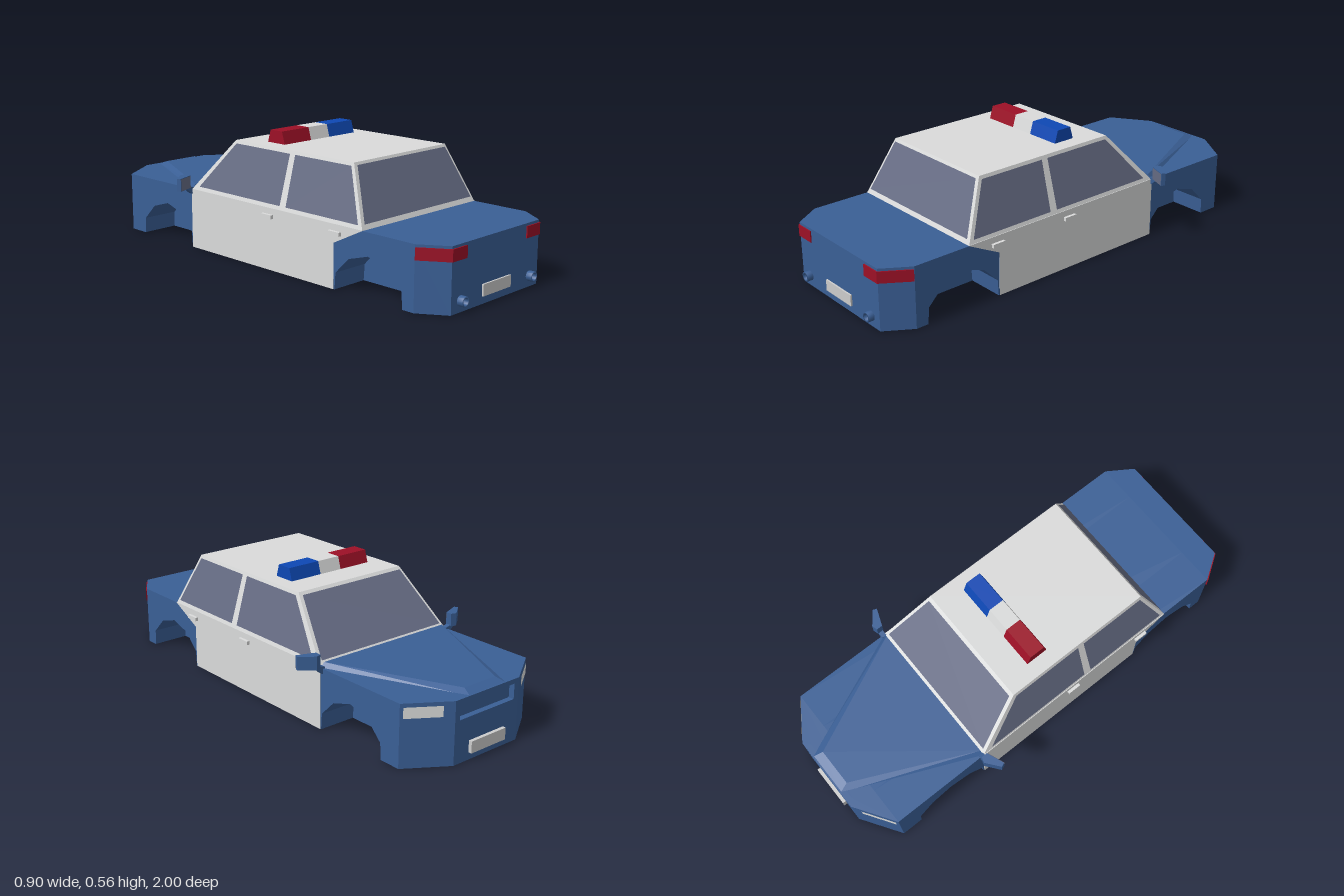
import * as THREE from 'three';
import { ConvexGeometry } from 'three/addons/geometries/ConvexGeometry.js';

const mat = (name, color, extra = {}) => {
  const m = new THREE.MeshStandardMaterial({ color, ...extra });
  m.name = name;
  return m;
};

export function createModel() {
  const car = new THREE.Group();
  car.name = 'patrolCar';
  const blue = mat('body blue', 0x3a5f95);
  const white = mat('white paint', 0xdadbdb);
  const plateGrey = mat('plate grey', 0xcbcbcb);
  const red = mat('red lens', 0x9c1026, { side: THREE.DoubleSide });
  const beaconBlue = mat('beacon blue', 0x0e48b4);
  const glass = mat('window glass', 0x666c84, { side: THREE.DoubleSide });
  const lamp = mat('headlight', 0xdcdedc, { side: THREE.DoubleSide });

  const add = (name, geo, material) => {
    const m = new THREE.Mesh(geo, material);
    m.name = name;
    car.add(m);
    return m;
  };
  const shape = (pts) => new THREE.Shape(pts.map(([a, b]) => new THREE.Vector2(a, b)));
  // (z, y) profile extruded across x0..x1
  const across = (pts, x0, x1) =>
    new THREE.ExtrudeGeometry(shape(pts), { depth: x1 - x0, bevelEnabled: false })
      .rotateY(-Math.PI / 2).translate(x1, 0, 0);
  // (x, z) plan extruded up y0..y1
  const upward = (pts, y0, y1) =>
    new THREE.ExtrudeGeometry(shape(pts), { depth: y1 - y0, bevelEnabled: false })
      .rotateX(Math.PI / 2).translate(0, y1, 0);
  const hull = (pts) => new ConvexGeometry(pts.map((p) => new THREE.Vector3(...p)));
  const box = (w, h, d, x, y, z) => new THREE.BoxGeometry(w, h, d).translate(x, y, z);
  const quad = (a, b, c, d) => {
    const g = new THREE.BufferGeometry();
    g.setAttribute('position', new THREE.Float32BufferAttribute([a, b, c, a, c, d].flat(), 3));
    g.computeVertexNormals();
    return g;
  };

  // Lower body: core, fenders with wheel arches, nose and tail
  const H = 0.265, W = 0.35, zNose = -0.87, zTail = 0.86;
  const arch = (c) => [[-0.175, 0], [-0.17, 0.07], [-0.1, 0.14], [0, 0.17],
    [0.1, 0.14], [0.17, 0.07], [0.175, 0]].map(([z, y]) => [c + z, y]);
  const sideProfile = [[zNose, 0], ...arch(-0.6), ...arch(0.63), [zTail, 0], [zTail, H], [zNose, H]];
  add('bodyCore', box(0.36, H, zTail - zNose, 0, H / 2, (zTail + zNose) / 2), blue);
  add('leftFenders', across(sideProfile, 0.18, W), blue);
  add('rightFenders', across(sideProfile, -W, -0.18), blue);
  add('nose', upward([[-W, zNose], [-0.175, -0.985], [-0.15, -0.985], [-0.15, -0.96],
    [0.15, -0.96], [0.15, -0.985], [0.175, -0.985], [W, zNose]], 0, H), blue);
  add('grilleLowerPanel', box(0.3, 0.18, 0.025, 0, 0.09, -0.9725), blue);
  add('grilleUpperPanel', box(0.3, 0.02, 0.025, 0, 0.255, -0.9725), blue);
  add('tail', upward([[-W, zTail], [-0.275, 0.975], [0.275, 0.975], [W, zTail]], 0, H), blue);

  // Raised hood panel
  add('hoodPanel', hull([-1, 1].flatMap((s) => [
    [s * 0.1, H - 0.002, -0.985], [s * 0.35, H - 0.002, -0.42],
    [s * 0.085, 0.279, -0.94], [s * 0.33, 0.284, -0.42]])), blue);

  // Cabin
  const yTop = 0.505;
  const at = (y) => {
    const t = (y - H) / (yTop - H);
    return { x: W - 0.07 * t, f: -0.42 + 0.22 * t, r: 0.6 - 0.11 * t };
  };
  add('cabin', hull([H, yTop].flatMap((y) => {
    const c = at(y);
    return [[c.x, y, c.f], [-c.x, y, c.f], [c.x, y, c.r], [-c.x, y, c.r]];
  })), white);

  // Windows
  const y0 = 0.283, y1 = 0.492, lo = at(y0), hi = at(y1), o = 0.003;
  const endWindow = (z0, z1, out) => quad(
    [-lo.x + 0.014, y0 + o, z0 + out], [lo.x - 0.014, y0 + o, z0 + out],
    [hi.x - 0.014, y1 + o, z1 + out], [-hi.x + 0.014, y1 + o, z1 + out]);
  add('rearWindow', endWindow(lo.r, hi.r, o), glass);
  add('windshield', endWindow(lo.f, hi.f, -o), glass);

  for (const s of [-1, 1]) {
    const side = s > 0 ? 'left' : 'right';
    const sideWindow = (a0, b0, a1, b1) => quad(
      [s * (lo.x + o), y0, a0], [s * (lo.x + o), y0, b0],
      [s * (hi.x + o), y1, b1], [s * (hi.x + o), y1, a1]);
    add(side + 'RearSideWindow', sideWindow(0.175, lo.r - 0.016, 0.17, hi.r - 0.014), glass);
    add(side + 'FrontSideWindow', sideWindow(lo.f + 0.032, 0.14, hi.f + 0.022, 0.14), glass);

    // White door panel and handles
    add(side + 'Doors', across([[-0.422, 0], [0.45, 0], [0.45, 0.19], [0.6, H], [0.6, H + 0.002], [-0.422, H + 0.002]],
      s > 0 ? W - 0.001 : -W - 0.002, s > 0 ? W + 0.002 : -W + 0.001), white);
    for (const z of [0.46, 0.075])
      add(side + 'DoorHandle', box(0.016, 0.016, 0.06, s * 0.357, 0.232, z), white);

    // Wing mirror
    const plan = [[0.365, -0.44], [0.39, -0.447], [0.45, -0.4], [0.443, -0.382], [0.365, -0.412]];
    add(side + 'Mirror', upward(plan.map(([x, z]) => [s * x, z]), 0.273, 0.33), blue);
    add(side + 'MirrorGlass', quad([s * 0.367, 0.275, -0.409], [s * 0.442, 0.275, -0.38],
      [s * 0.442, 0.328, -0.38], [s * 0.367, 0.328, -0.409]), glass);
    add(side + 'MirrorArm', hull([-0.437, -0.415].flatMap((z) => [
      [s * 0.34, 0.245, z], [s * 0.34, 0.272, z], [s * 0.37, 0.28, z], [s * 0.395, 0.28, z], [s * 0.355, 0.245, z]])), blue);

    // Headlight on the chamfered nose
    const nose = (t, y) => [s * (W - 0.175 * t + 0.002), y, zNose - 0.115 * t - 0.003];
    add(side + 'Headlight', quad(nose(0.06, 0.205), nose(0.78, 0.205), nose(0.78, 0.25), nose(0.06, 0.25)), lamp);

    // Wrap-around tail light
    add(side + 'TailLight', upward([[0.19, 0.97], [0.19, 0.98], [0.277, 0.98], [0.354, 0.864], [0.348, 0.864], [0.273, 0.97]]
      .map(([x, z]) => [s * x, z]), 0.205, 0.254), red);

    // Exhaust
    const pipe = [[0.014, -0.012], [0.021, -0.012], [0.021, 0.02], [0.014, 0.02], [0.014, -0.004], [0, -0.004]];
    add(side + 'Exhaust', new THREE.LatheGeometry(pipe.map((p) => new THREE.Vector2(...p)), 16)
      .rotateX(Math.PI / 2).translate(s * 0.22, 0.046, 0.98), blue);
  }

  // Number plates
  add('rearPlate', box(0.176, 0.048, 0.009, 0, 0.056, 0.978), plateGrey);
  add('frontPlate', box(0.19, 0.05, 0.015, 0, 0.056, -0.9925), plateGrey);

  // Roof light bar
  const beacon = (name, x0, x1, m) => add(name, hull([x0, x1].flatMap((x) => [
    [x, yTop, -0.072], [x, yTop, 0.03], [x, 0.559, 0.014], [x, 0.559, -0.056]])), m);
  beacon('redBeacon', -0.212, -0.056, red);
  beacon('beaconCentre', -0.056, 0.056, white);
  beacon('blueBeacon', 0.056, 0.212, beaconBlue);

  return car;
}
